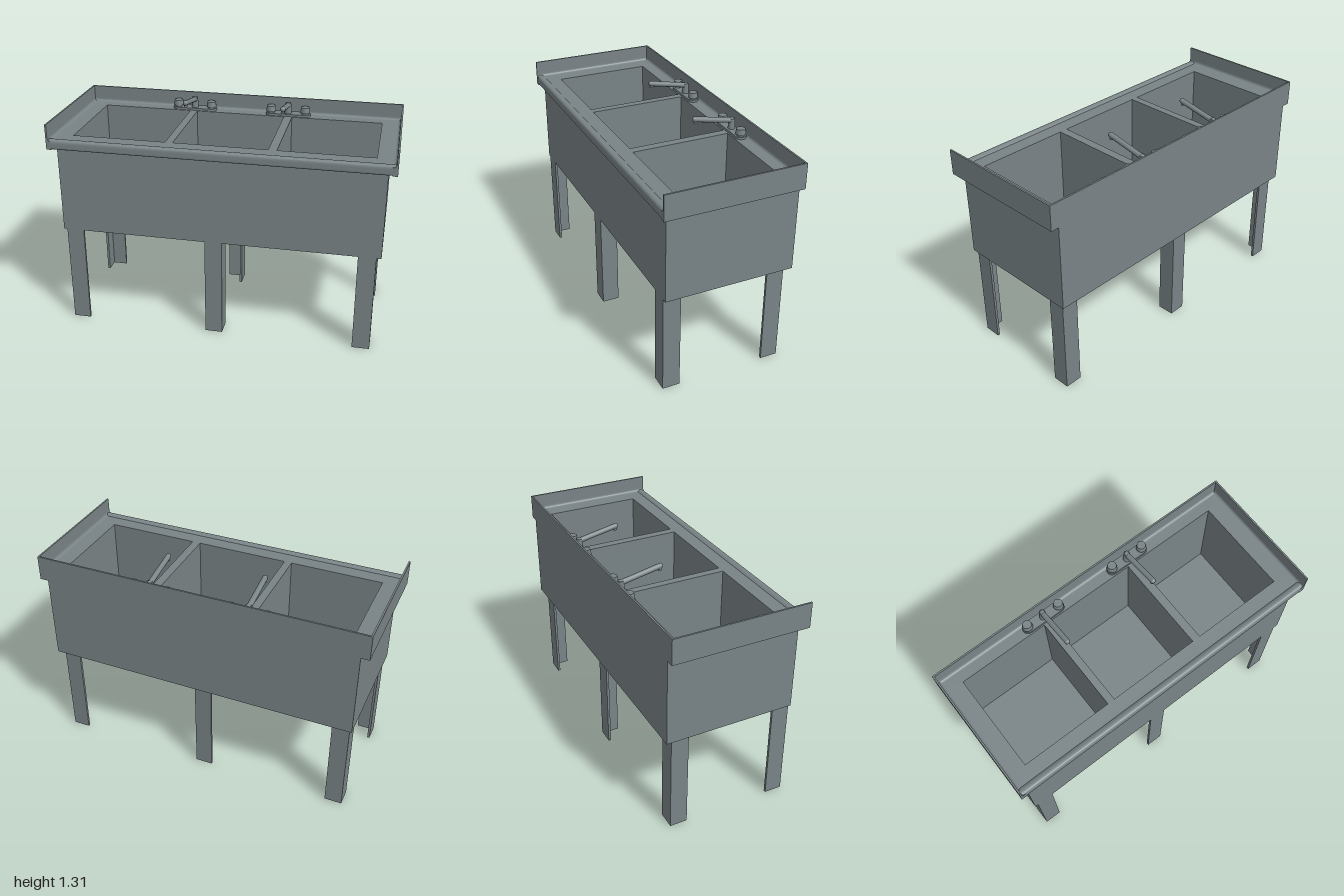
import * as THREE from 'three';

const steel = new THREE.MeshStandardMaterial({ color: 0x798386 });
steel.name = 'steel grey';

const DECK = 1.18, RIM_BOTTOM = 1.13, SPLASH_TOP = 1.28;
const BASINS = [[-0.88, -0.325], [-0.28, 0.275], [0.325, 0.88]];

function add(parent, name, geometry, x = 0, y = 0, z = 0) {
  const mesh = new THREE.Mesh(geometry, steel);
  mesh.name = name;
  mesh.position.set(x, y, z);
  parent.add(mesh);
  return mesh;
}

const extrude = (shape, depth) =>
  new THREE.ExtrudeGeometry(shape, { depth, bevelEnabled: false, curveSegments: 8 });

function rectangle(PathType, x0, x1, z0, z1) {
  return new PathType([[x0, -z0], [x0, -z1], [x1, -z1], [x1, -z0]].map(p => new THREE.Vector2(...p)));
}

// Horizontal slab pierced by the three basin openings
function piercedSlab(x0, x1, z0, z1, height) {
  const shape = rectangle(THREE.Shape, x0, x1, z0, z1);
  for (const [a, b] of BASINS) shape.holes.push(rectangle(THREE.Path, a, b, -0.315, 0.275));
  return extrude(shape, height).rotateX(-Math.PI / 2);
}

// Upright splash sheet with a cove where it meets the deck
function splashProfile(outer, side) {
  const t = 0.01, r = 0.02, u = d => side * (outer - d);
  const s = new THREE.Shape();
  s.moveTo(u(0), RIM_BOTTOM);
  s.lineTo(u(0), SPLASH_TOP);
  s.lineTo(u(t), SPLASH_TOP);
  s.lineTo(u(t), DECK + r);
  s.quadraticCurveTo(u(t), DECK, u(t + r), DECK);
  s.lineTo(u(t + r), RIM_BOTTOM);
  return s;
}

// Angle-section leg: two thin flanges meeting at the (sx, sz) corner
function angleLeg(sx, sz) {
  const w = 0.052, t = 0.015, i = w - t;
  const corners = [[w, w], [-w, w], [-w, i], [i, i], [i, -w], [w, -w]];
  const shape = new THREE.Shape(corners.map(([x, z]) => new THREE.Vector2(sx * x, -sz * z)));
  return extrude(shape, 0.615).rotateX(-Math.PI / 2);
}

function faucet() {
  const g = new THREE.Group();
  // Base plate with rounded ends
  const plate = new THREE.Shape();
  plate.absarc(0.107, 0, 0.033, -Math.PI / 2, Math.PI / 2);
  plate.absarc(-0.107, 0, 0.033, Math.PI / 2, Math.PI * 1.5);
  add(g, 'faucetPlate', extrude(plate, 0.014).rotateX(-Math.PI / 2));
  for (const s of [-1, 1]) {
    add(g, 'faucetStem', new THREE.CylinderGeometry(0.02, 0.024, 0.02, 20), s * 0.107, 0.02, 0);
    add(g, 'faucetKnob', new THREE.CylinderGeometry(0.026, 0.031, 0.032, 20), s * 0.107, 0.04, 0);
  }
  // Post and upward-sloping spout
  add(g, 'spoutPost', new THREE.CylinderGeometry(0.018, 0.022, 0.07, 20), 0, 0.042, 0);
  const path = new THREE.LineCurve3(new THREE.Vector3(0, 0.064, 0), new THREE.Vector3(0, 0.113, 0.242));
  add(g, 'spout', new THREE.TubeGeometry(path, 1, 0.016, 14));
  add(g, 'spoutBack', new THREE.SphereGeometry(0.018, 14, 10), 0, 0.066, 0);
  add(g, 'spoutTip', new THREE.SphereGeometry(0.016, 14, 10), 0, 0.113, 0.24);
  add(g, 'spoutNozzle', new THREE.CylinderGeometry(0.012, 0.012, 0.025, 14), 0, 0.1, 0.235);
  return g;
}

export function createModel() {
  const model = new THREE.Group();

  // Basin block and its floor
  add(model, 'basinBody', piercedSlab(-0.95, 0.95, -0.403, 0.37, 0.51), 0, 0.63, 0);
  add(model, 'basinFloor', new THREE.BoxGeometry(1.9, 0.02, 0.773), 0, 0.62, -0.0165);

  // Deck with rolled front edge
  add(model, 'deck', piercedSlab(-0.99, 0.99, -0.39, 0.37, DECK - RIM_BOTTOM), 0, RIM_BOTTOM, 0);
  const nose = new THREE.Shape();
  nose.moveTo(-0.36, RIM_BOTTOM);
  nose.lineTo(-0.36, DECK);
  nose.quadraticCurveTo(-0.375, DECK + 0.012, -0.39, DECK + 0.01);
  nose.quadraticCurveTo(-0.405, DECK + 0.008, -0.405, DECK - 0.015);
  nose.lineTo(-0.405, RIM_BOTTOM + 0.015);
  nose.quadraticCurveTo(-0.405, RIM_BOTTOM, -0.39, RIM_BOTTOM);
  add(model, 'frontRoll', extrude(nose, 1.98).rotateY(Math.PI / 2), -0.99, 0, 0);

  // Back and side splashes
  add(model, 'backSplash', extrude(splashProfile(0.405, 1), 2).rotateY(Math.PI / 2), -1, 0, 0);
  for (const s of [-1, 1]) add(model, 'sideSplash', extrude(splashProfile(1, s), 0.81), 0, 0, -0.405);

  // Six legs in two rows
  for (const [x, sx] of [[-0.878, -1], [-0.026, 1], [0.87, 1]]) {
    add(model, 'frontLeg', angleLeg(sx, 1), x, 0, 0.317);
    add(model, 'backLeg', angleLeg(sx, -1), x, 0, -0.313);
  }

  // Two faucets over the partitions
  for (const x of [-0.303, 0.295]) {
    const f = faucet();
    f.name = 'faucet';
    f.position.set(x, DECK, -0.356);
    model.add(f);
  }
  return model;
}
